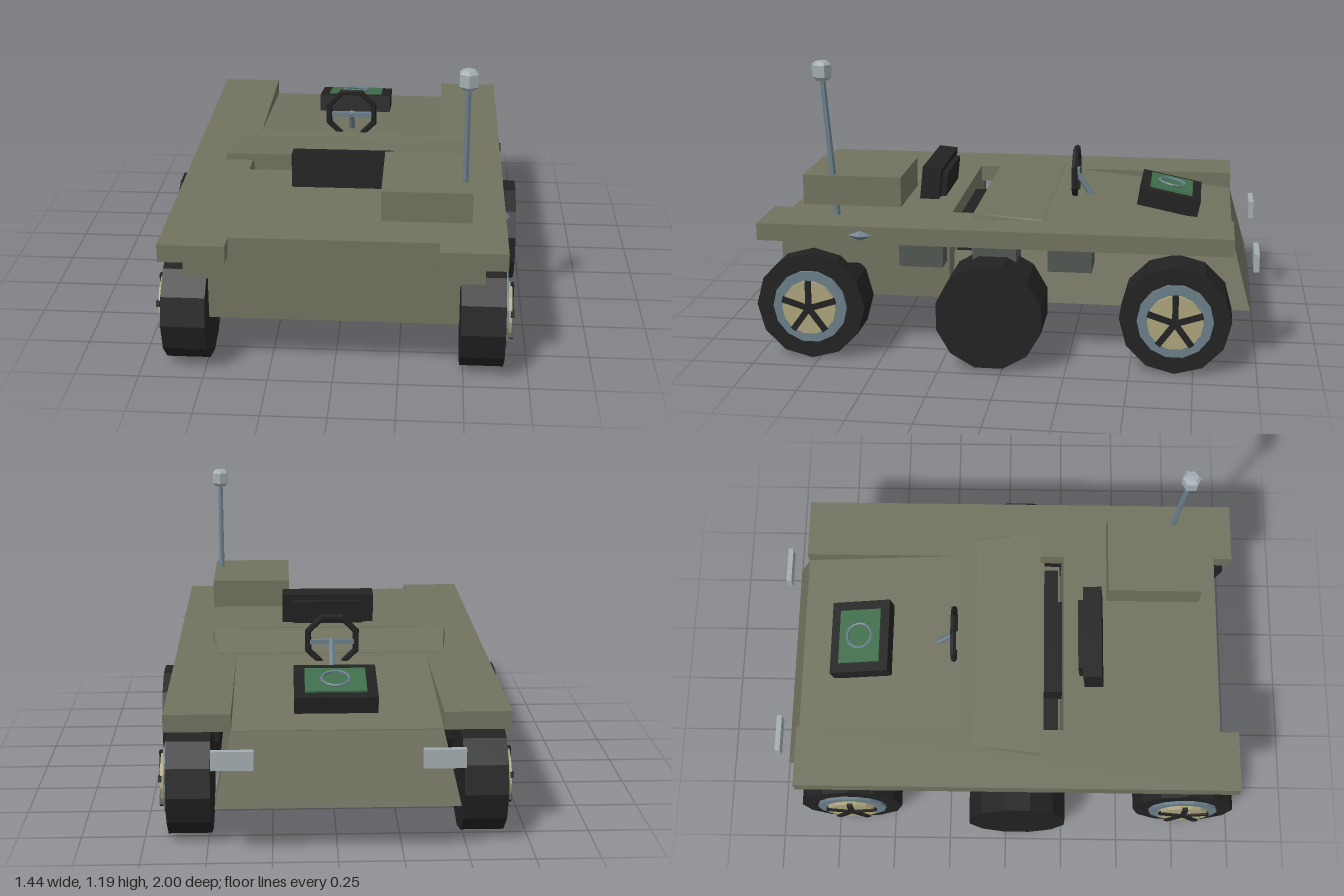
import * as THREE from 'three';

const mat = (name, color, extra = {}) => {
  const m = new THREE.MeshStandardMaterial({ color, ...extra });
  m.name = name;
  return m;
};

export function createModel() {
  const olive = mat('olive paint', 0x71725f);
  const black = mat('black rubber', 0x222222);
  const steel = mat('blue steel', 0x6b7f8a);
  const tan = mat('tan hub', 0xaba47c);
  const green = mat('green screen', 0x3f6e4a);
  const pale = mat('pale lamp', 0xa3adb1);
  const vent = mat('dark vent', 0x525753);

  const model = new THREE.Group();
  model.name = 'sixWheeledBuggy';

  const add = (name, geo, material, x = 0, y = 0, z = 0, parent = model) => {
    const g = geo.index ? geo.toNonIndexed() : geo;
    g.computeVertexNormals();
    const mesh = new THREE.Mesh(g, material);
    mesh.name = name;
    mesh.position.set(x, y, z);
    parent.add(mesh);
    return mesh;
  };

  // Box given by its limits on each axis
  const box = (name, material, x0, x1, y0, y1, z0, z1, parent = model) =>
    add(name, new THREE.BoxGeometry(x1 - x0, y1 - y0, z1 - z0), material,
      (x0 + x1) / 2, (y0 + y1) / 2, (z0 + z1) / 2, parent);

  // Loft of trapezoid sections [zBottom, zTop, halfBottom, halfTop, yBottom, yTop], z rising
  const loft = (name, material, sections) => {
    const rings = sections.map(([zb, zt, xb, xt, yb, yt]) =>
      [[-xb, yb, zb], [xb, yb, zb], [xt, yt, zt], [-xt, yt, zt]]);
    const pos = [];
    const quad = (a, b, c, d) => pos.push(...a, ...b, ...c, ...a, ...c, ...d);
    for (let s = 0; s + 1 < rings.length; s++) {
      const [a, b] = [rings[s], rings[s + 1]];
      for (let i = 0; i < 4; i++) quad(a[i], a[(i + 1) % 4], b[(i + 1) % 4], b[i]);
    }
    const first = rings[0], last = rings[rings.length - 1];
    quad(first[3], first[2], first[1], first[0]);
    quad(last[0], last[1], last[2], last[3]);
    const g = new THREE.BufferGeometry();
    g.setAttribute('position', new THREE.Float32BufferAttribute(pos, 3));
    return add(name, g, material);
  };

  // Hull: tapered nose, low footwell and stepped tail
  loft('noseHull', olive, [
    [-0.97, -0.893, 0.465, 0.4, 0.21, 0.49],
    [0.16, 0.16, 0.465, 0.4, 0.21, 0.49]]);
  loft('footwell', olive, [
    [0.16, 0.16, 0.465, 0.421, 0.21, 0.4],
    [0.232, 0.232, 0.465, 0.421, 0.21, 0.4]]);
  box('footwellFloor', black, -0.4, 0.4, 0.4, 0.405, 0.16, 0.225);
  box('tailHull', olive, -0.48, 0.48, 0.22, 0.49, 0.243, 0.91);
  box('tailSponson', olive, -0.575, 0.575, 0.385, 0.49, 0.43, 0.91);

  // Deck: side fenders, rear deck, sloping hood and raised cowl
  for (const s of [-1, 1]) {
    box('fender', olive, Math.min(s * 0.4, s * 0.655), Math.max(s * 0.4, s * 0.655),
      0.49, 0.56, -0.895, 0.99);
  }
  box('rearDeck', olive, -0.4, 0.4, 0.488, 0.56, 0.243, 0.91);
  loft('hood', olive, [
    [-0.893, -0.893, 0.4, 0.4, 0.46, 0.493],
    [-0.2, -0.2, 0.4, 0.4, 0.47, 0.56],
    [0.08, 0.08, 0.4, 0.4, 0.47, 0.56]]);
  loft('cowl', olive, [
    [-0.14, -0.14, 0.48, 0.475, 0.555, 0.562],
    [0.14, 0.14, 0.515, 0.508, 0.555, 0.588]]);

  // Side vents under the fenders, and lamps on the nose
  for (const s of [-1, 1]) {
    for (const z of [0.34, 0.045, -0.255]) {
      add('sideVent', new THREE.BoxGeometry(0.18, 0.11, 0.175), vent, s * 0.488, 0.434, z);
    }
    add('lamp', new THREE.BoxGeometry(0.16, 0.075, 0.022), pale, s * 0.395, 0.413, -0.989);
  }

  // Seat
  box('seatCushion', black, -0.21, 0.21, 0.4, 0.5, 0.16, 0.24);
  const back = new THREE.Group();
  back.name = 'seatBack';
  back.position.set(0, 0.56, 0.375);
  back.rotation.x = -0.1;
  model.add(back);
  box('backrest', black, -0.205, 0.205, -0.01, 0.135, -0.04, 0.04, back);
  box('backrestPad', black, -0.155, 0.155, 0.005, 0.11, -0.062, -0.04, back);

  // Steering wheel with spoke bar and column
  const wheelRing = new THREE.TorusGeometry(0.107, 0.014, 6, 8);
  wheelRing.rotateZ(Math.PI / 8);
  add('steeringWheel', wheelRing, black, 0, 0.643, -0.23);
  box('steeringSpoke', steel, -0.1, 0.1, 0.628, 0.648, -0.24, -0.225);
  const column = add('steeringColumn', new THREE.CylinderGeometry(0.012, 0.014, 0.13, 6), steel,
    0, 0.595, -0.265);
  column.rotation.x = 0.6;

  // Tilted display on the hood
  const display = new THREE.Group();
  display.name = 'display';
  display.position.set(0, 0.567, -0.632);
  display.rotation.x = -0.2;
  model.add(display);
  box('displayCase', black, -0.162, 0.162, -0.04, 0.035, -0.128, 0.128, display);
  box('displayScreen', green, -0.12, 0.12, 0.034, 0.042, -0.09, 0.09, display);
  const dial = new THREE.TorusGeometry(0.055, 0.006, 5, 14);
  dial.rotateX(Math.PI / 2);
  add('displayRing', dial, steel, 0, 0.047, 0, display);

  // Equipment box, antenna and side marker
  box('equipmentBox', olive, 0.175, 0.52, 0.608, 0.73, 0.43, 0.83);
  const mast = add('antennaMast', new THREE.CylinderGeometry(0.011, 0.014, 0.58, 6), steel,
    0.492, 0.845, 0.722);
  mast.rotation.x = 0.075;
  const knob = [[0, -0.04], [0.025, -0.04], [0.04, -0.024], [0.04, 0.024], [0.025, 0.037], [0, 0.04]]
    .map(p => new THREE.Vector2(...p));
  add('antennaKnob', new THREE.LatheGeometry(knob, 6), pale, 0.492, 1.152, 0.745);
  const marker = new THREE.OctahedronGeometry(1);
  marker.scale(0.025, 0.023, 0.056);
  add('sideMarker', marker, steel, 0.652, 0.523, 0.57);

  // Wheels: cylinder along x, turned so a corner or a flat is on top
  const disc = (r, w, n, turn = 0) => {
    const g = new THREE.CylinderGeometry(r, r, w, n);
    g.rotateY(turn);
    g.rotateZ(-Math.PI / 2);
    return g;
  };
  for (const s of [-1, 1]) {
    for (const z of [0.78, -0.677]) {
      const wheel = new THREE.Group();
      wheel.name = 'spokedWheel';
      wheel.position.set(s * 0.57, 0.222, z);
      wheel.rotation.y = s < 0 ? Math.PI : 0;
      model.add(wheel);
      add('tyre', disc(0.22, 0.17, 12), black, 0, 0, 0, wheel);
      add('rim', disc(0.15, 0.02, 14), steel, 0.087, 0, 0, wheel);
      add('hubPlate', disc(0.11, 0.02, 14), tan, 0.102, 0, 0, wheel);
      for (let i = 0; i < 5; i++) {
        const spoke = new THREE.BoxGeometry(0.014, 0.115, 0.024);
        spoke.translate(0, 0.055, 0);
        spoke.rotateX(i * Math.PI * 2 / 5);
        add('spoke', spoke, black, 0.113, 0, 0, wheel);
      }
    }
    add('middleWheel', disc(0.215, 0.24, 12, Math.PI / 12), black, s * 0.602, 0.225, 0.05);
  }

  return model;
}
